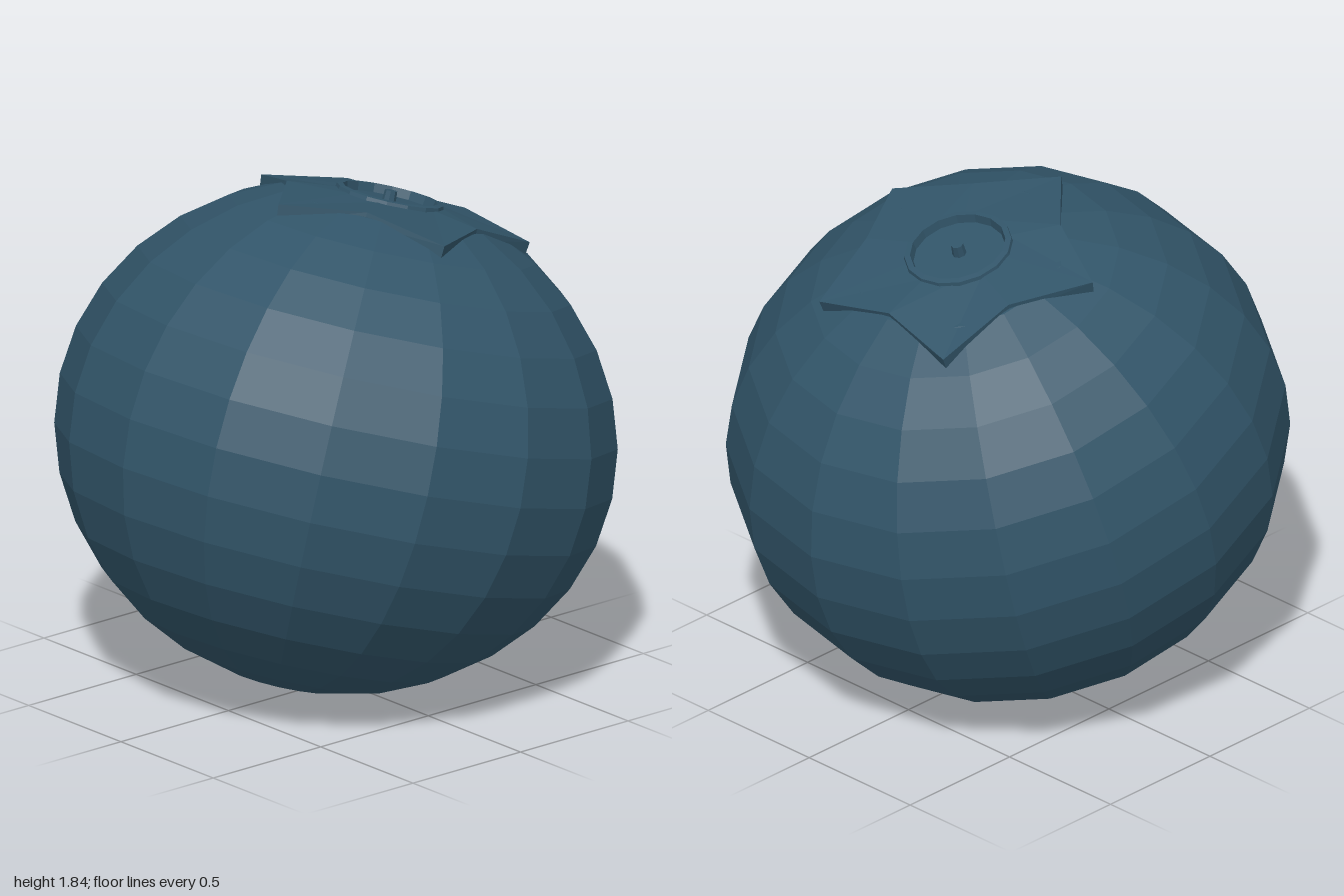
import * as THREE from 'three';

export function createModel() {
  const skin = new THREE.MeshStandardMaterial({ color: 0x315468, flatShading: true });
  skin.name = 'blueberryBlue';

  const berry = new THREE.Group();
  berry.name = 'berry';
  const add = (name, geometry) => {
    const mesh = new THREE.Mesh(geometry, skin);
    mesh.name = name;
    berry.add(mesh);
    return mesh;
  };

  // Squashed round body, flattened at the top to form the floor of the crown
  const profile = [];
  for (let k = 0; k <= 16; k++) {
    const t = (k / 16) * Math.PI;
    const y = k >= 15 ? 0.855 : -0.908 * Math.cos(t);
    profile.push(new THREE.Vector2(Math.max(Math.sin(t), 0), y));
  }
  profile[16].x = 0;
  add('body', new THREE.LatheGeometry(profile, 16));

  // Five-pointed calyx: lower rim, upper rim and inner loop, joined by strips
  const loops = [
    { tip: [0.515, 0.758], notch: [0.37, 0.815] },
    { tip: [0.522, 0.815], notch: [0.37, 0.857] },
    { tip: [0.18, 0.874], notch: [0.18, 0.874] },
  ];
  const positions = [];
  const index = [];
  loops.forEach((loop, row) => {
    for (let i = 0; i < 10; i++) {
      const a = (i * Math.PI) / 5;
      const [r, y] = i % 2 ? loop.tip : loop.notch;
      positions.push(r * Math.cos(a), y, -r * Math.sin(a));
      if (row === 0) continue;
      const j = (i + 1) % 10;
      const lo = (row - 1) * 10;
      const hi = row * 10;
      index.push(lo + i, lo + j, hi + j, lo + i, hi + j, hi + i);
    }
  });
  const star = new THREE.BufferGeometry();
  star.setAttribute('position', new THREE.Float32BufferAttribute(positions, 3));
  star.setIndex(index);
  star.computeVertexNormals();
  add('calyxStar', star);

  // Raised rim around the shallow dish
  const rim = [[0.2, 0.85], [0.193, 0.884], [0.172, 0.887], [0.165, 0.85]];
  add('calyxRim', new THREE.LatheGeometry(rim.map(([x, y]) => new THREE.Vector2(x, y)), 16));

  // Small stem scar in the middle of the dish
  add('stemNub', new THREE.CylinderGeometry(0.022, 0.026, 0.05, 8)).position.y = 0.873;

  // Lean the berry towards its left
  berry.rotation.z = THREE.MathUtils.degToRad(-16.6);
  berry.position.y = 0.914;

  const model = new THREE.Group();
  model.name = 'blueberry';
  model.add(berry);
  return model;
}
